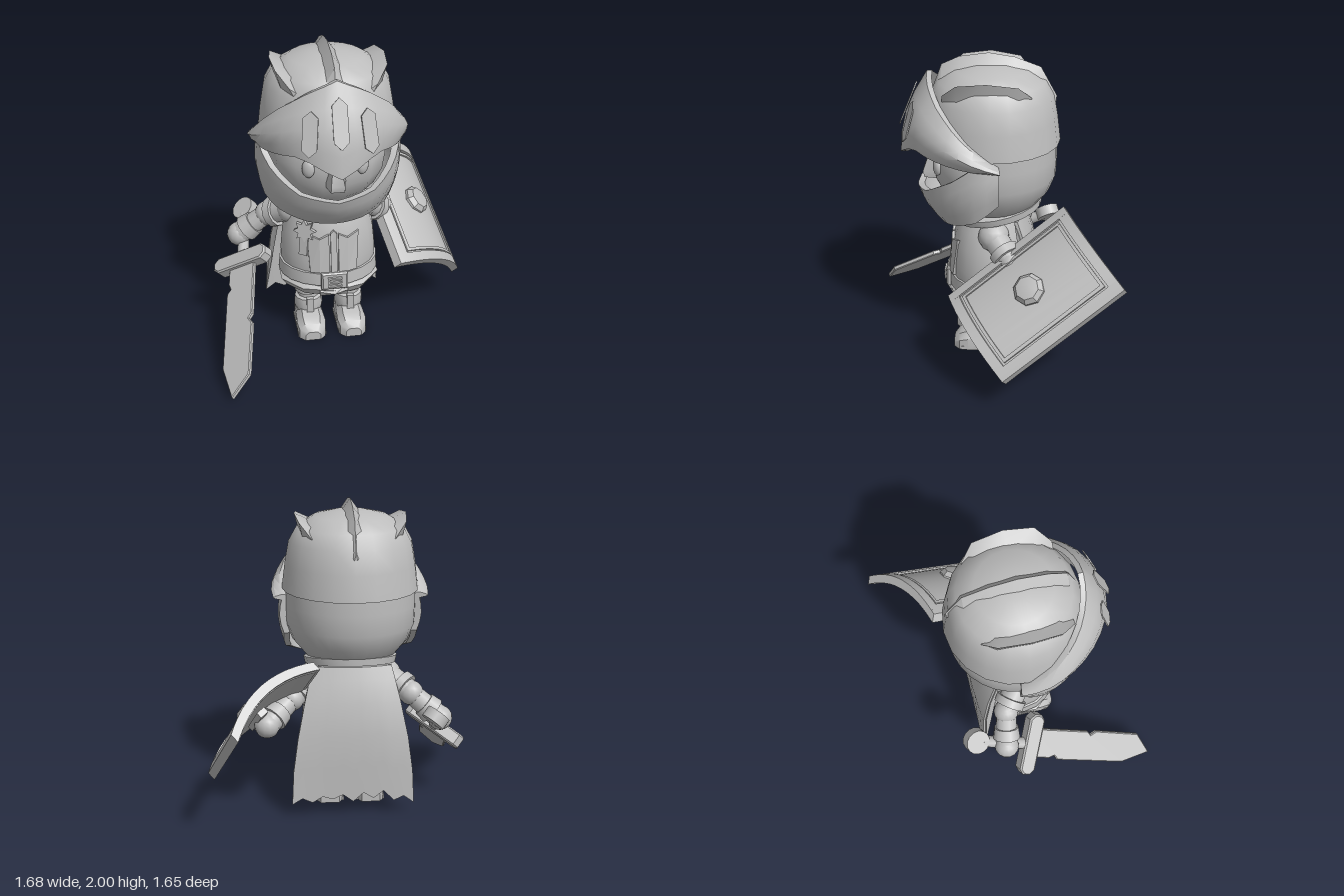
import * as THREE from 'three';
import { toCreasedNormals, mergeVertices } from 'three/addons/utils/BufferGeometryUtils.js';

const V = (x, y, z) => new THREE.Vector3(x, y, z);
const grey = new THREE.MeshStandardMaterial({ color: 0xbebebe, side: THREE.DoubleSide });
grey.name = 'plain grey';

function add(parent, name, geo, pos = [0, 0, 0], rot = [0, 0, 0], scl = [1, 1, 1]) {
  const m = new THREE.Mesh(geo, grey);
  m.name = name;
  m.position.set(...pos);
  m.rotation.set(...rot);
  m.scale.set(...scl);
  parent.add(m);
  return m;
}
function group(parent, name) {
  const g = new THREE.Group();
  g.name = name;
  parent.add(g);
  return g;
}
const box = (w, h, d) => new THREE.BoxGeometry(w, h, d);
const ball = (r) => new THREE.SphereGeometry(r, 14, 10);
const crease = (g, a = 0.6) => toCreasedNormals(g, a);

// Turned solid from [radius, height] pairs, rising
function lathe(pts, seg = 20, start = 0, len = Math.PI * 2) {
  return crease(new THREE.LatheGeometry(pts.map((p) => new THREE.Vector2(...p)), seg, start, len));
}
// Skin over a list of closed rings, with both ends capped
function loft(rings) {
  const n = rings[0].length, pos = [], idx = [];
  rings.forEach((r) => r.forEach((p) => pos.push(p.x, p.y, p.z)));
  for (let i = 0; i < rings.length - 1; i++) for (let j = 0; j < n; j++) {
    const k = (j + 1) % n, a = i * n + j, b = a + n, c = (i + 1) * n + k, d = i * n + k;
    idx.push(a, b, c, a, c, d);
  }
  const e = (rings.length - 1) * n;
  for (let j = 1; j < n - 1; j++) idx.push(0, j, j + 1, e, e + j + 1, e + j);
  const g = new THREE.BufferGeometry();
  g.setAttribute('position', new THREE.Float32BufferAttribute(pos, 3));
  g.setIndex(idx);
  return crease(g);
}
// Thick curved plate round the head; rows: [degrees, bottom y, bottom r, top y, top r]
function wrapPoint(rows, deg, v, bulge) {
  const a = Math.abs(deg);
  let i = 0;
  while (i < rows.length - 2 && a > rows[i + 1][0]) i++;
  const t = (a - rows[i][0]) / (rows[i + 1][0] - rows[i][0]);
  const [, yb, rb, yt, rt] = rows[i].map((q, k) => q + (rows[i + 1][k] - q) * t);
  const r = rb + (rt - rb) * v + bulge * Math.sin(Math.PI * v), th = deg * Math.PI / 180;
  return V(Math.sin(th) * r, yb + (yt - yb) * v, Math.cos(th) * r);
}
function wrapPlate(rows, bulge, thick) {
  const max = rows[rows.length - 1][0], rings = [];
  for (let i = 0; i <= 20; i++) {
    const outer = [0, 0.25, 0.5, 0.75, 1].map((v) => wrapPoint(rows, max * (i / 10 - 1), v, bulge));
    const inner = outer.map((p) => V(p.x * (1 - thick), p.y, p.z * (1 - thick))).reverse();
    rings.push([...outer, ...inner]);
  }
  return loft(rings);
}
// Raised crest; rows: [z, base y, apex y, half width], tilted round the head centre
function ridge(rows, tilt) {
  const c = Math.cos(tilt), s = Math.sin(tilt);
  const turn = (x, y, z) => V(x * c - (y - 1.5) * s, x * s + (y - 1.5) * c + 1.5, z);
  return loft(rows.map(([z, b, a, w]) => [turn(-w, b, z), turn(0, a, z), turn(w, b, z)]));
}
// Tapered round bar between two points
function limb(parent, name, a, b, r0, r1) {
  const d = b.clone().sub(a);
  const m = add(parent, name, new THREE.CylinderGeometry(r1, r0, d.length(), 12));
  m.position.copy(a).addScaledVector(d, 0.5);
  m.quaternion.setFromUnitVectors(V(0, 1, 0), d.normalize());
  return m;
}
function extrude(pts, depth, bevel = 0) {
  const shape = new THREE.Shape(pts.map((p) => new THREE.Vector2(...p)));
  return new THREE.ExtrudeGeometry(shape, {
    depth, bevelEnabled: bevel > 0, bevelSize: bevel, bevelThickness: bevel, bevelSegments: 1,
  });
}
// Armoured arm from shoulder to hand
function arm(parent, name, s, e, h) {
  const g = group(parent, name);
  add(g, 'shoulderCap', ball(0.1), s.toArray());
  limb(g, 'upperArm', s, e, 0.085, 0.075);
  const at = (a, b, t) => a.clone().lerp(b, t);
  limb(g, 'shoulderBand', at(s, e, 0.55), at(s, e, 0.8), 0.1, 0.1);
  add(g, 'elbow', ball(0.08), e.toArray());
  limb(g, 'forearm', e, h, 0.065, 0.075);
  limb(g, 'cuff', at(e, h, 0.45), at(e, h, 0.75), 0.08, 0.09);
  add(g, 'hand', ball(0.08), h.toArray());
}

function buildHead(body) {
  const head = group(body, 'head');
  add(head, 'face', ball(0.375), [0, 1.3, 0]);
  add(head, 'nose', loft([[1.18, 0.07, 0.43], [1.22, 0.07, 0.44], [1.38, 0.03, 0.385]].map(([y, w, z]) =>
    [V(-w, y, 0.3), V(w, y, 0.3), V(w * 0.6, y, z), V(-w * 0.6, y, z)].reverse())));
  for (const s of [-1, 1]) {
    add(head, 'eye', ball(0.05), [s * 0.165, 1.305, 0.335], [0, s * 0.45, 0], [0.8, 1.15, 0.5]);
    add(head, 'brow', box(0.14, 0.02, 0.04), [s * 0.16, 1.385, 0.33], [0, s * 0.45, s * 0.12]);
  }
  // Helmet shell, with a lip where the upper part overlaps the lower
  add(head, 'helmetDome', lathe([[0.395, 1.455], [0.43, 1.44], [0.41, 1.6], [0.385, 1.74], [0.335, 1.83],
    [0.23, 1.895], [0.1, 1.925], [0, 1.93]], 20));
  add(head, 'helmetBack', lathe([[0.18, 0.98], [0.29, 1.02], [0.37, 1.12], [0.408, 1.22], [0.412, 1.35],
    [0.41, 1.46]], 18, 1.25, Math.PI * 2 - 2.5));
  const visor = [[0, 1.34, 0.58, 1.88, 0.4], [25, 1.455, 0.53, 1.8, 0.41], [50, 1.42, 0.49, 1.68, 0.43],
    [75, 1.39, 0.46, 1.53, 0.45], [98, 1.375, 0.44, 1.41, 0.44]];
  add(head, 'visor', wrapPlate(visor, 0.05, 0.08));
  const chin = [[0, 0.91, 0.32, 1.13, 0.475], [30, 0.925, 0.34, 1.17, 0.465], [60, 0.98, 0.39, 1.3, 0.455],
    [80, 1.04, 0.42, 1.42, 0.45], [98, 1.16, 0.425, 1.4, 0.43]];
  add(head, 'chinGuard', wrapPlate(chin, 0.025, 0.09));
  // Long hexagonal visor slots
  for (const [deg, v0, v1] of [[-19, 0.12, 0.78], [0, 0.34, 0.86], [19, 0.12, 0.78]]) {
    const a = wrapPoint(visor, deg, v0, 0.05), b = wrapPoint(visor, deg, v1, 0.05);
    const h = a.distanceTo(b) / 2, w = 0.045;
    const slot = add(head, 'visorSlot', extrude([[0, -h], [w, -h * 0.7], [w, h * 0.7], [0, h],
      [-w, h * 0.7], [-w, -h * 0.7]], 0.008), wrapPoint(visor, deg, (v0 + v1) / 2, 0.05).toArray());
    slot.rotation.order = 'YXZ';
    slot.rotation.set(-Math.asin((a.length() && (Math.hypot(a.x, a.z) - Math.hypot(b.x, b.z))) / (2 * h)),
      deg * Math.PI / 180, 0);
  }
  // Three crests over the dome
  add(head, 'middleCrest', ridge([[-0.4, 1.69, 1.73, 0.01], [-0.3, 1.8, 1.91, 0.07], [-0.14, 1.87, 1.97, 0.075],
    [0.02, 1.89, 1.995, 0.075], [0.2, 1.86, 1.97, 0.075], [0.31, 1.8, 1.92, 0.07], [0.36, 1.72, 1.79, 0.07]], 0));
  for (const s of [-1, 1]) add(head, 'sideCrest', ridge([[-0.25, 1.86, 1.89, 0.01], [-0.17, 1.89, 2, 0.055],
    [0.02, 1.91, 2.035, 0.06], [0.2, 1.89, 2.01, 0.055], [0.29, 1.84, 1.9, 0.015]], s * 0.71));
  add(head, 'collar', lathe([[0.22, -0.03], [0.29, -0.03], [0.3, 0.015], [0.27, 0.03], [0.2, 0.03]]),
    [0, 0.985, -0.03], [0.2, 0, 0]);
}

function buildTorso(body) {
  const g = group(body, 'torso');
  const D = 0.87;
  const profile = [[0, 0.36], [0.28, 0.36], [0.305, 0.44], [0.31, 0.6], [0.295, 0.75], [0.26, 0.86], [0.22, 0.95], [0, 0.98]];
  add(g, 'breastplate', lathe(profile), [0, 0, 0], [0, 0, 0], [1, 1, D]);
  add(g, 'belt', lathe([[0.3, 0.43], [0.325, 0.435], [0.32, 0.52], [0.3, 0.525]]), [0, 0, 0], [0, 0, 0], [1, 1, D]);
  add(g, 'skirtHem', lathe([[0.2, 0.34], [0.3, 0.35], [0.335, 0.4], [0.3, 0.425]], 10), [0, 0, 0], [0, 0, 0], [1, 1, D]);
  add(g, 'hemPoint', loft([[-0.09, 0.02], [0, 0.06], [0.09, 0.02]].map(([x, d]) =>
    [V(x, 0.42, 0.25), V(x, 0.385, 0.25 + d), V(x, 0.345, 0.25)].reverse())));
  // Buckle with tongue bars
  add(g, 'buckle', extrude([[-0.075, -0.05], [0.075, -0.05], [0.075, 0.05], [-0.075, 0.05]], 0.02, 0.01), [0, 0.475, 0.27]);
  for (const y of [-0.028, 0, 0.028]) add(g, 'buckleBar', box(0.08, 0.012, 0.02), [0.005, 0.475 + y, 0.305]);
  add(g, 'bucklePost', box(0.012, 0.068, 0.02), [-0.04, 0.475, 0.305]);
  // Raised chest panels bent to the breastplate
  const radius = (y) => {
    const i = Math.max(1, profile.findIndex((p) => p[1] > y));
    const [a, b] = [profile[i - 1], profile[i]];
    return a[0] + (b[0] - a[0]) * (y - a[1]) / (b[1] - a[1]);
  };
  const panel = (name, pts) => {
    const geo = extrude(pts, 0.02), p = geo.attributes.position;
    for (let i = 0; i < p.count; i++) {
      const x = p.getX(i), r = radius(p.getY(i));
      p.setZ(i, p.getZ(i) + D * Math.sqrt(Math.max(0, r * r - x * x)) - 0.003);
    }
    geo.computeVertexNormals();
    add(g, name, geo);
  };
  panel('middlePanel', [[-0.02, 0.53], [0.02, 0.53], [0.02, 0.8], [0, 0.82], [-0.02, 0.8]]);
  for (const s of [-1, 1]) {
    const side = [[0.03, 0.53], [0.09, 0.53], [0.09, 0.765], [0.03, 0.795]];
    const edge = [[0.09, 0.53], [0.15, 0.53], [0.165, 0.79], [0.09, 0.765]];
    for (const pts of [side, edge]) panel('sidePanel', s > 0 ? pts : pts.map(([x, y]) => [-x, y]).reverse());
  }
  // Star badge on a ribbon
  const star = Array.from({ length: 16 }, (_, i) => {
    const a = i * Math.PI / 8, r = i % 2 ? 0.045 : 0.075;
    return [Math.cos(a) * r, Math.sin(a) * r];
  });
  add(g, 'starBadge', extrude(star, 0.025), [-0.17, 0.81, 0.195], [-0.15, -0.5, 0]);
  add(g, 'badgeRibbon', box(0.055, 0.13, 0.015), [-0.185, 0.71, 0.215], [-0.08, -0.55, -0.1]);
}

function buildLegs(body) {
  for (const s of [-1, 1]) {
    const leg = group(body, s > 0 ? 'leftLeg' : 'rightLeg');
    leg.position.set(s * 0.135, 0, 0.01);
    add(leg, 'thigh', new THREE.CylinderGeometry(0.085, 0.075, 0.16, 12), [0, 0.33, 0]);
    add(leg, 'kneeBand', lathe([[0.06, 0.255], [0.09, 0.26], [0.09, 0.3], [0.06, 0.31]], 12));
    add(leg, 'shin', lathe([[0.08, 0.05], [0.085, 0.12], [0.095, 0.15], [0.09, 0.215], [0.07, 0.225], [0.07, 0.27]], 12));
    add(leg, 'shinGuard', box(0.045, 0.13, 0.03), [0, 0.17, 0.09]);
    // Boot from rounded sections, heel to toe
    add(leg, 'boot', loft([[-0.12, 0.06, 0.1], [-0.08, 0.085, 0.14], [0.04, 0.088, 0.15], [0.14, 0.095, 0.125],
      [0.2, 0.085, 0.1], [0.235, 0.05, 0.06]].map(([z, w, h]) => [V(-w, 0, z), V(-w, h * 0.65, z),
      V(-w * 0.6, h, z), V(w * 0.6, h, z), V(w, h * 0.65, z), V(w, 0, z)])));
    add(leg, 'sole', box(0.185, 0.025, 0.27), [0, 0.0125, 0.05]);
  }
}

function buildCape(body) {
  // Hanging cloth with a ragged hem
  const hem = [0.08, 0.13, 0.1, 0.17, 0.12, 0.16, 0.1, 0.15, 0.12, 0.14, 0.1, 0.13, 0.09];
  const rings = hem.map((y0, i) => {
    const u = i / 6 - 1;
    const at = (t, o) => V(u * (0.25 + 0.14 * Math.sin(t * Math.PI / 2)), 0.97 + (y0 - 0.97) * t,
      -0.2 - 0.1 * Math.sin(Math.min(1, t * 1.8) * Math.PI / 2) + 0.04 * u * u * (1 - t) - o);
    const ts = [1, 0.75, 0.5, 0.25, 0.1, 0];
    return [...ts.map((t) => at(t, -0.01)), ...ts.reverse().map((t) => at(t, 0.01))];
  });
  add(body, 'cape', loft(rings));
}

function buildSword(root) {
  const g = group(root, 'sword');
  const y = V(-0.135, -0.468, 0.873).normalize(), z = V(0.78, 0.51, 0.37).cross(y).normalize();
  g.quaternion.setFromRotationMatrix(new THREE.Matrix4().makeBasis(y.clone().cross(z), y, z));
  g.position.set(-0.65, 0.495, -0.02);
  // Notched blade
  add(g, 'blade', extrude([[0.1, 0], [0.1, 0.42], [0.075, 0.45], [0.105, 0.49], [0.1, 0.83], [-0.02, 0.95],
    [-0.1, 0.75], [-0.1, 0.23], [-0.07, 0.2], [-0.09, 0.16], [-0.09, 0]], 0.02, 0.006), [0, 0, -0.01]);
  add(g, 'guard', extrude([[-0.17, -0.045], [0.17, -0.045], [0.2, -0.02], [0.2, 0.02], [0.17, 0.045],
    [-0.17, 0.045], [-0.2, 0.02], [-0.2, -0.02]], 0.07, 0.01), [0, 0, -0.035]);
  add(g, 'grip', new THREE.CylinderGeometry(0.038, 0.038, 0.36, 10), [0, -0.18, 0]);
  add(g, 'pommel', new THREE.CylinderGeometry(0.08, 0.08, 0.07, 14), [0, -0.4, 0], [Math.PI / 2, 0, 0]);
}

function buildShield(root) {
  const g = group(root, 'shield');
  const x = V(0.72, -0.449, -0.529).normalize(), z = V(0.665, 0.662, 0.343).normalize();
  g.quaternion.setFromRotationMatrix(new THREE.Matrix4().makeBasis(x, z.clone().cross(x), z));
  g.position.set(0.5, 0.66, -0.28);
  // Slab bowed across its width
  const slab = (name, w, h, d, cx, cy, front) => {
    const geo = new THREE.BoxGeometry(w, h, d, 10, 1, 1).translate(cx, cy, front - d / 2);
    const p = geo.attributes.position;
    for (let i = 0; i < p.count; i++) p.setZ(i, p.getZ(i) + 0.1 * (1 - (p.getX(i) / 0.34) ** 2));
    add(g, name, crease(mergeVertices(geo.deleteAttribute('uv').deleteAttribute('normal'))));
  };
  slab('panel', 0.64, 0.87, 0.045, 0, 0, -0.015);
  for (const s of [-1, 1]) {
    slab('sideRim', 0.065, 0.92, 0.06, s * 0.3075, 0, 0.005);
    slab('endRim', 0.62, 0.065, 0.06, 0, s * 0.4275, 0.005);
    slab('sideTrim', 0.02, 0.76, 0.02, s * 0.25, 0, -0.003);
    slab('endTrim', 0.5, 0.02, 0.02, 0, s * 0.37, -0.003);
  }
  add(g, 'boss', lathe([[0.1, -0.03], [0.1, 0.01], [0.075, 0.04], [0, 0.055]], 8), [0, 0, 0.085], [Math.PI / 2, 0, 0]);
  add(g, 'handle', box(0.06, 0.3, 0.04), [0, 0, 0.01]);
}

export function createModel() {
  const root = new THREE.Group();
  root.name = 'littleKnight';
  const body = group(root, 'body');
  body.position.x = -0.09;
  buildHead(body);
  buildTorso(body);
  buildLegs(body);
  buildCape(body);
  arm(root, 'rightArm', V(-0.32, 0.86, -0.02), V(-0.47, 0.77, -0.14), V(-0.655, 0.61, -0.18));
  arm(root, 'leftArm', V(0.14, 0.86, -0.02), V(0.29, 0.75, -0.14), V(0.45, 0.63, -0.29));
  buildSword(root);
  buildShield(root);
  return root;
}
